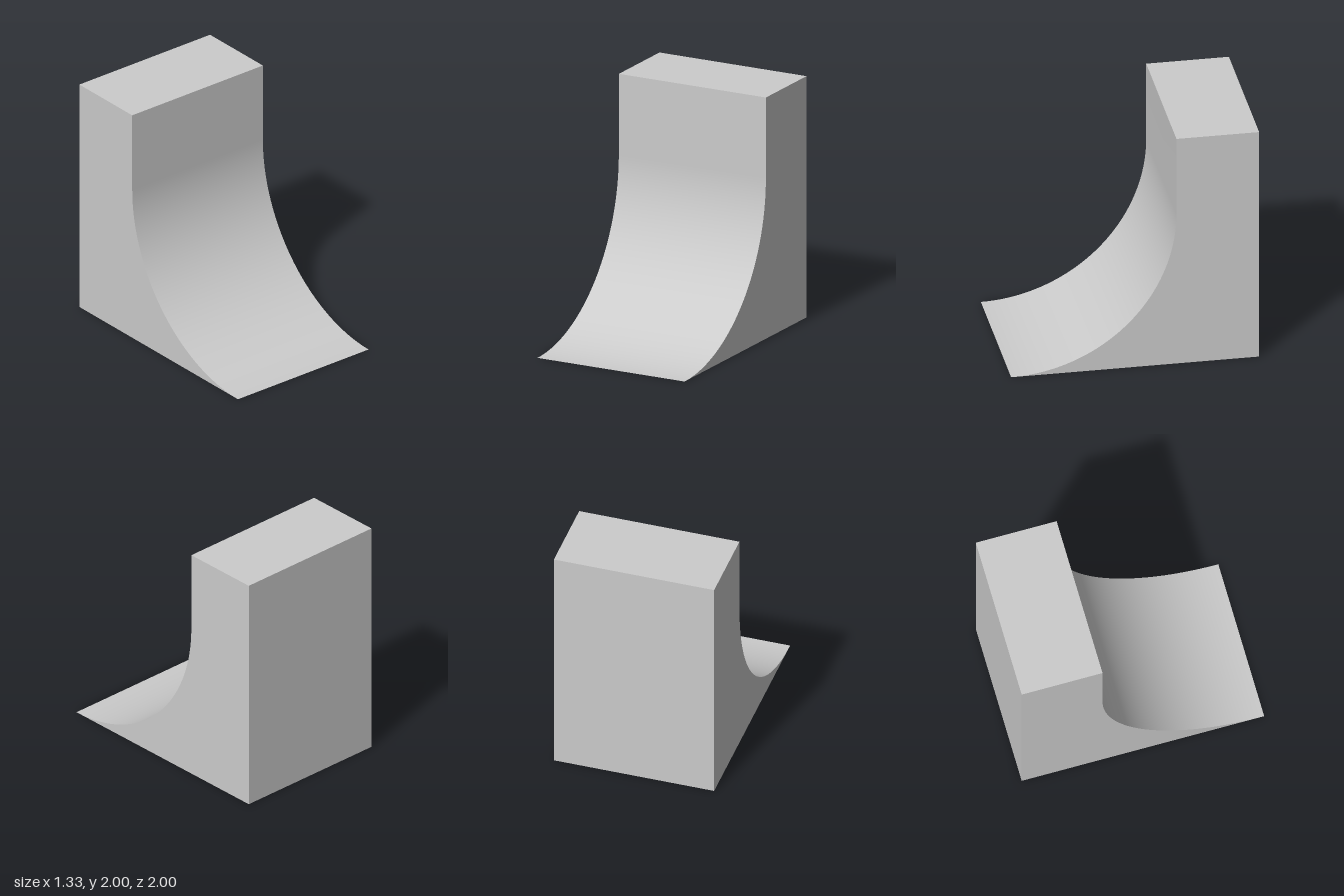
import * as THREE from 'three';
import { toCreasedNormals } from 'three/addons/utils/BufferGeometryUtils.js';

const WIDTH = 4 / 3;
const RADIUS = 4 / 3;

export function createModel() {
  const group = new THREE.Group();
  group.name = 'quarterPipeRamp';

  // Side profile: flat base and back, top deck, short vertical wall, quarter-circle sweep
  const profile = new THREE.Shape();
  profile.moveTo(-1, 0);
  profile.lineTo(1, 0);
  profile.lineTo(1, 2);
  profile.lineTo(RADIUS - 1, 2);
  profile.lineTo(RADIUS - 1, RADIUS);
  profile.absarc(-1, RADIUS, RADIUS, 0, -Math.PI / 2, true);

  const extruded = new THREE.ExtrudeGeometry(profile, {
    depth: WIDTH,
    bevelEnabled: false,
    curveSegments: 32,
  });
  extruded.translate(0, 0, -WIDTH / 2);
  extruded.rotateY(Math.PI / 2); // profile x becomes -z

  // Smooth sweep, sharp outer edges
  const geometry = toCreasedNormals(extruded, 0.5);
  const ramp = new THREE.Mesh(geometry, new THREE.MeshStandardMaterial({ color: 0xcccccc }));
  ramp.name = 'rampBody';
  group.add(ramp);

  return group;
}
